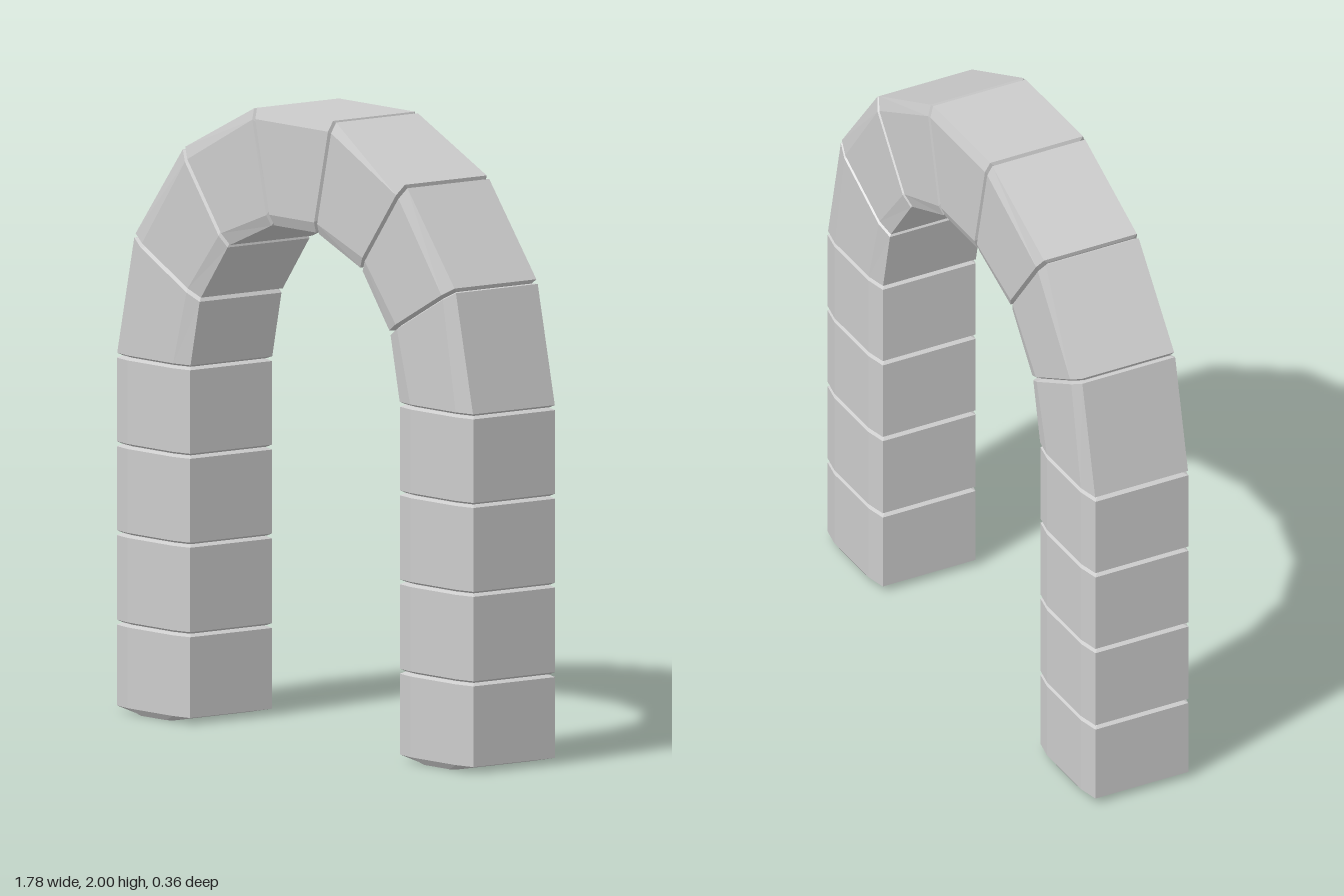
import * as THREE from 'three';

const Z_SIDE = 0.166, Z_FACE = 0.18;   // half depth at the outer/inner sides and on the front face
const GROOVE = 0.008;                  // half width of the joint between stones

// Joint lines of one half: inner point, outer point, width of the long-edge bevel
const LEG = [0, 0.285, 0.57, 0.853, 1.135].map((y) => ({ a: [0.525, y], b: [0.892, y], bevel: 0.07 }));
const CURVE = [
  { a: [0.476, 1.358], b: [0.803, 1.527], bevel: 0.055 },
  { a: [0.333, 1.545], b: [0.557, 1.833], bevel: 0.045 },
  { a: [0.112, 1.635], b: [0.198, 2.0], bevel: 0.035 },
];

// Eight-sided cross-section spanning a joint line, optionally shrunk
function ring(a, b, bevel, insetU = 0, insetZ = 0) {
  const w = a.distanceTo(b);
  const u = b.clone().sub(a).normalize();
  const lo = insetU, hi = w - insetU, zs = Z_SIDE - insetZ, zf = Z_FACE - insetZ;
  const c = Math.min(bevel, (hi - lo) * 0.4);
  return [
    [lo + c, zf], [hi - c, zf], [hi, zs], [hi, -zs],
    [hi - c, -zf], [lo + c, -zf], [lo, -zs], [lo, zs],
  ].map(([s, z]) => [a.x + u.x * s, a.y + u.y * s, z]);
}

// Skin a list of rings and close both ends
function loft(rings) {
  const n = rings[0].length, last = (rings.length - 1) * n, index = [];
  for (let r = 0; r < rings.length - 1; r++) {
    for (let i = 0; i < n; i++) {
      const p = r * n + i, q = r * n + (i + 1) % n;
      index.push(p, q, q + n, p, q + n, p + n);
    }
  }
  for (let i = 1; i < n - 1; i++) {
    index.push(0, i + 1, i, last, last + i, last + i + 1);
  }
  const geo = new THREE.BufferGeometry();
  geo.setAttribute('position', new THREE.Float32BufferAttribute(rings.flat(2), 3));
  geo.setIndex(index);
  const flat = geo.toNonIndexed();
  flat.computeVertexNormals();
  return flat;
}

// One stone between two joint lines; a foot end has a wide, shallow chamfer
function stone(s, e, footStart, footEnd) {
  const v = (p) => new THREE.Vector2(...p);
  const [sa, sb, ea, eb] = [s.a, s.b, e.a, e.b].map(v);
  // Points a fixed distance along the stone from either end
  const along = (p, q, d) => p.clone().add(q.clone().sub(p).normalize().multiplyScalar(d));
  const end = (a, b, ta, tb, bevel, foot) => {
    const d = foot ? 0.02 : GROOVE;
    const cap = foot ? ring(a, b, 0.02, 0.1, 0.014) : ring(along(a, ta, 0.001), along(b, tb, 0.001), bevel, 0.012, 0.012);
    return [cap, ring(along(a, ta, d), along(b, tb, d), bevel)];
  };
  return loft([
    ...end(sa, sb, ea, eb, s.bevel, footStart),
    ...end(ea, eb, sa, sb, e.bevel, footEnd).reverse(),
  ]);
}

export function createModel() {
  const group = new THREE.Group();
  group.name = 'stoneArch';
  const material = new THREE.MeshStandardMaterial({ color: 0xcccccc, flatShading: true });

  // Joints run up the left leg, over the arch and down the right leg
  const half = [...LEG, ...CURVE];
  const mirrored = half.map(({ a, b, bevel }) => ({ a: [-a[0], a[1]], b: [-b[0], b[1]], bevel })).reverse();
  const joints = [...half, ...mirrored];
  const count = joints.length - 1, legStones = LEG.length - 1, middle = (count - 1) / 2;

  for (let i = 0; i < count; i++) {
    const mesh = new THREE.Mesh(stone(joints[i], joints[i + 1], i === 0, i === count - 1), material);
    const side = i < middle ? 'left' : 'right';
    const number = Math.min(i, count - 1 - i) + 1;
    if (i === middle) mesh.name = 'keystone';
    else if (number <= legStones) mesh.name = `${side}LegStone${number}`;
    else mesh.name = `${side}ArchStone${number - legStones}`;
    group.add(mesh);
  }
  return group;
}
